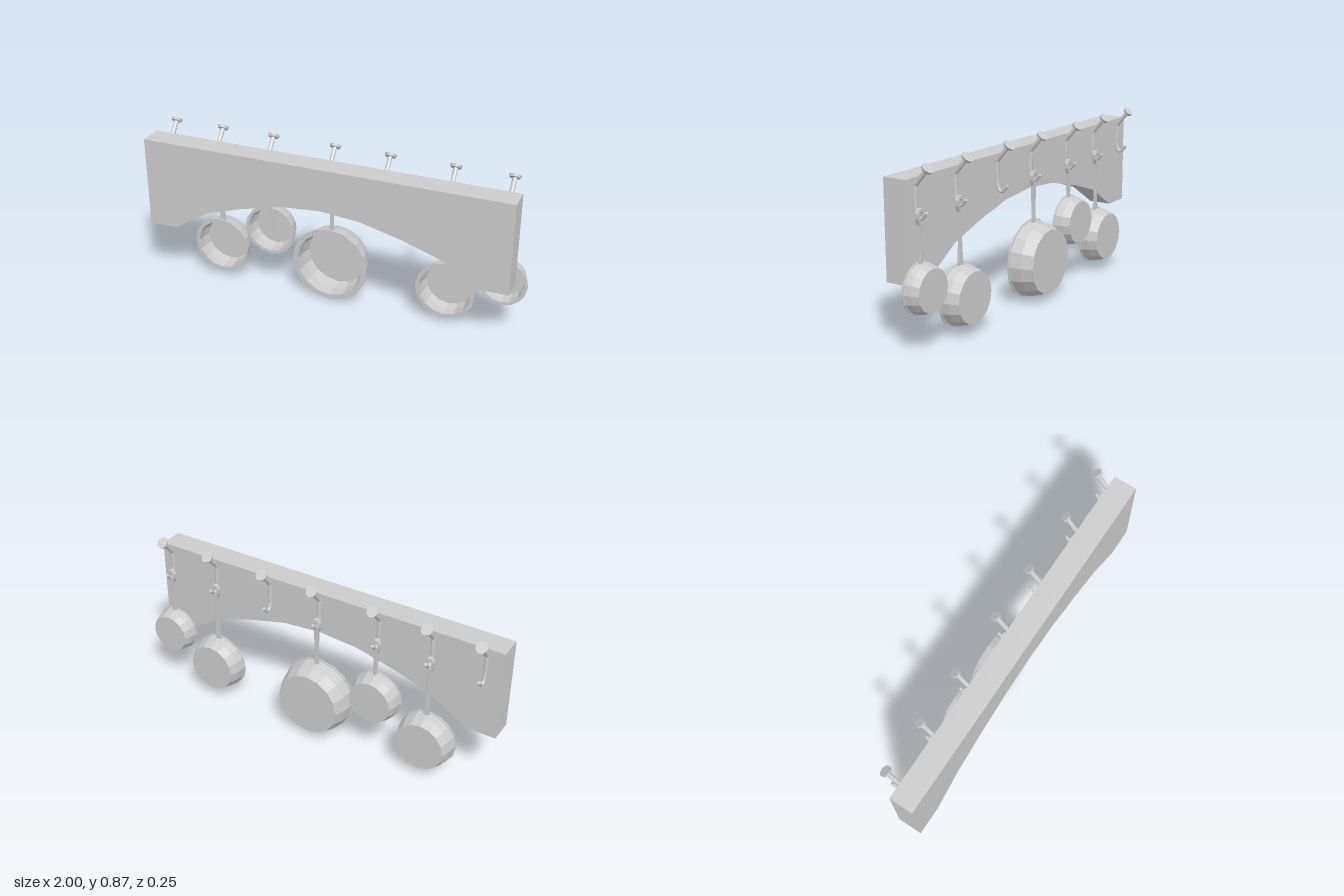
import * as THREE from 'three';

const mat = new THREE.MeshStandardMaterial({ color: 0xcccccc, flatShading: true, side: THREE.DoubleSide });
const RIM_SIDES = 16;

function add(parent, name, geometry) {
  const mesh = new THREE.Mesh(geometry, mat);
  mesh.name = name;
  parent.add(mesh);
  return mesh;
}

// Board with an arched lower edge
function boardGeometry() {
  const outline = [
    [-1, 0.8], [-1, 0.32], [-0.85, 0.32], [-0.66, 0.44], [-0.46, 0.505], [-0.24, 0.56], [-0.03, 0.578],
    [0.18, 0.56], [0.4, 0.505], [0.6, 0.44], [0.79, 0.32], [0.94, 0.32], [0.94, 0.8],
  ].map(([x, y]) => new THREE.Vector2(x, y));
  return new THREE.ExtrudeGeometry(new THREE.Shape(outline), { depth: 0.125, bevelEnabled: false });
}

// Bent rod with a flat head at the top and an upturned tip
function makeHook(x) {
  const hook = new THREE.Group();
  hook.name = 'hook';
  const path = [
    [0.843, -0.069], [0.768, -0.003], [0.66, -0.003], [0.632, -0.009],
    [0.617, -0.024], [0.621, -0.037], [0.65, -0.062],
  ].map(([y, z]) => new THREE.Vector3(0, y, z));
  for (let i = 0; i < path.length - 1; i++) {
    const a = path[i], b = path[i + 1];
    const r = (k) => (k < 2 ? 0.012 : k < 4 ? 0.01 : 0.008);
    const dir = b.clone().sub(a);
    const rod = add(hook, 'hookRod', new THREE.CylinderGeometry(r(i + 1), r(i), dir.length(), 8));
    rod.position.copy(a).add(b).multiplyScalar(0.5);
    rod.quaternion.setFromUnitVectors(new THREE.Vector3(0, 1, 0), dir.normalize());
    // Small joint fills the bend
    if (i > 0) add(hook, 'hookBend', new THREE.IcosahedronGeometry(r(i), 1)).position.copy(a);
  }
  const up = path[0].clone().sub(path[1]).normalize();
  const head = add(hook, 'hookHead', new THREE.CylinderGeometry(0.03, 0.026, 0.014, 10));
  head.position.copy(path[0]).addScaledVector(up, 0.004);
  head.quaternion.setFromUnitVectors(new THREE.Vector3(0, 1, 0), up);
  hook.position.x = x;
  return hook;
}

// Flat tapered handle with an eye for the hook
function handleGeometry() {
  const s = new THREE.Shape();
  s.moveTo(-0.016, 0.33);
  s.lineTo(0.016, 0.33);
  s.lineTo(0.009, 0.45);
  s.lineTo(0.01, 0.59);
  s.lineTo(0.021, 0.62);
  s.lineTo(0.021, 0.645);
  s.lineTo(0.011, 0.665);
  s.lineTo(-0.011, 0.665);
  s.lineTo(-0.021, 0.645);
  s.lineTo(-0.021, 0.62);
  s.lineTo(-0.01, 0.59);
  s.lineTo(-0.009, 0.45);
  s.closePath();
  const eye = new THREE.Path();
  eye.absellipse(0, 0.63, 0.011, 0.022, 0, Math.PI * 2, true);
  s.holes.push(eye);
  const g = new THREE.ExtrudeGeometry(s, { depth: 0.022, bevelEnabled: false, curveSegments: 5 });
  // Thin the plate towards its lower end
  const p = g.attributes.position;
  for (let i = 0; i < p.count; i++) {
    const k = THREE.MathUtils.clamp((p.getY(i) - 0.45) / 0.2, 0, 1);
    p.setZ(i, -0.023 + (p.getZ(i) - 0.011) * (0.5 + 0.5 * k));
  }
  g.computeVertexNormals();
  return g;
}

// Hollow pan, opening towards the board
function panGeometry(r, back, front) {
  const d = front - back;
  const profile = [
    [0, back], [r * 0.82, back], [r * 0.92, back + d * 0.47], [r * 0.965, front - 0.008],
    [r, front - 0.007], [r, front], [r * 0.87, front],
    [r * 0.855, back + d * 0.5], [r * 0.79, back + 0.01], [0, back + 0.01],
  ].map(([x, y]) => new THREE.Vector2(x, y));
  return new THREE.LatheGeometry(profile, RIM_SIDES).rotateX(Math.PI / 2);
}

export function createModel() {
  const model = new THREE.Group();
  model.name = 'panRack';
  add(model, 'board', boardGeometry());
  for (const x of [-0.915, -0.645, -0.36, -0.025, 0.265, 0.595, 0.88]) model.add(makeHook(x));

  // x, y, radius, back z, front z, handle x
  const pans = [
    [-0.655, 0.19, 0.155, -0.105, -0.006, -0.648],
    [-0.368, 0.335, 0.138, -0.097, -0.008, -0.36],
    [-0.028, 0.208, 0.205, -0.125, 0.003, -0.023],
    [0.59, 0.19, 0.155, -0.105, -0.006, 0.593],
    [0.875, 0.3, 0.125, -0.088, -0.01, 0.88],
  ];
  const handle = handleGeometry();
  for (const [x, y, r, back, front, hx] of pans) {
    const pan = new THREE.Group();
    pan.name = 'pan';
    add(pan, 'panBody', panGeometry(r, back, front)).position.set(x, y, 0);
    add(pan, 'panHandle', handle).position.x = hx;
    model.add(pan);
  }
  return model;
}
